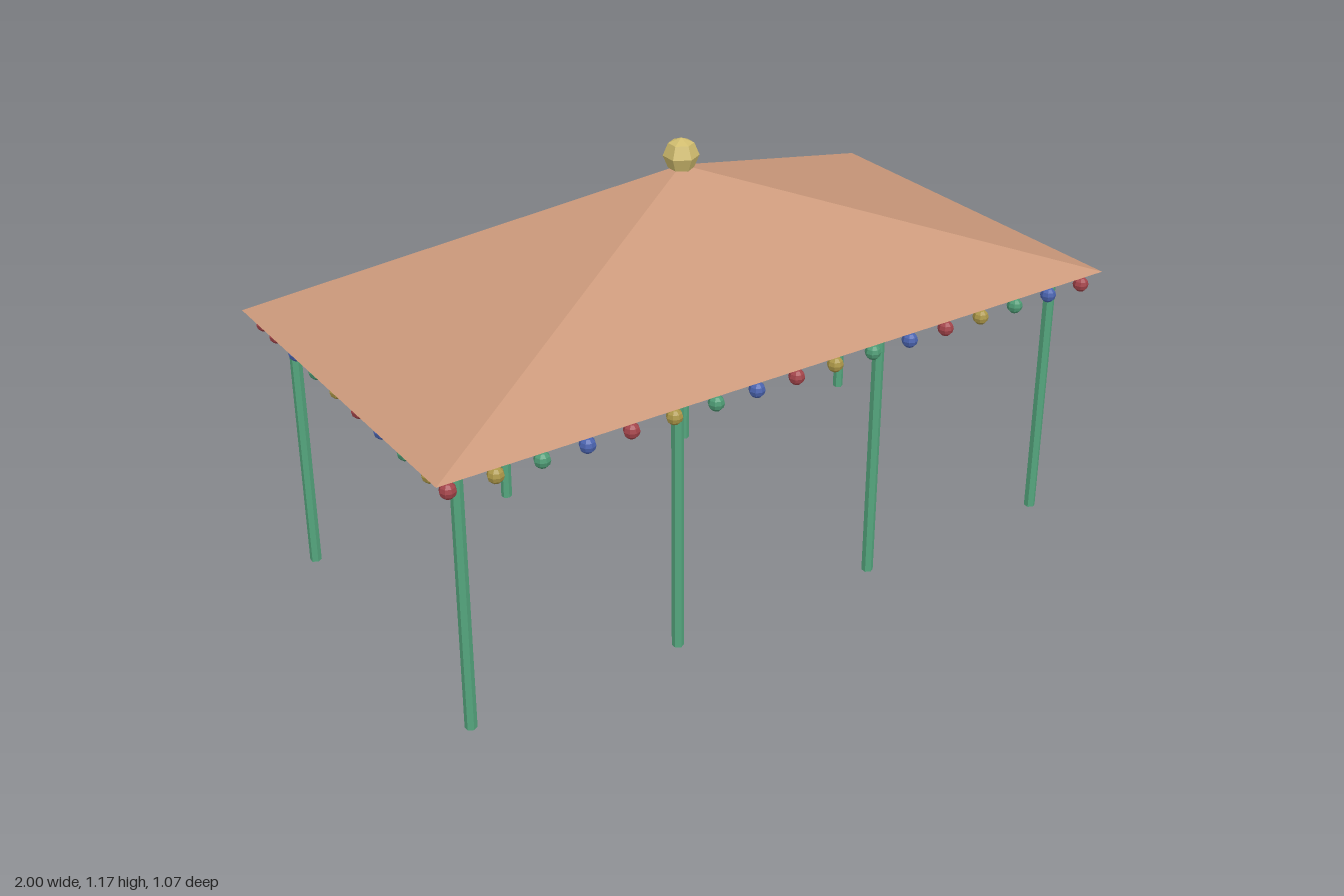
import * as THREE from 'three';

const paint = (name, color) => {
  const m = new THREE.MeshStandardMaterial({ color, flatShading: true });
  m.name = name;
  return m;
};

export function createModel() {
  const terracotta = paint('terracotta', 0xc99779);
  const green = paint('frame green', 0x55a67e);
  const brass = paint('brass', 0xd0bc6e);
  const bulbPaints = [
    paint('bulb red', 0xa3444a),
    paint('bulb yellow', 0xab9648),
    paint('bulb green', 0x4e9a74),
    paint('bulb blue', 0x4a63ae),
  ];

  const model = new THREE.Group();
  model.name = 'pavilion';
  const add = (name, geometry, material, x, y, z, parent = model) => {
    const mesh = new THREE.Mesh(geometry, material);
    mesh.name = name;
    mesh.position.set(x, y, z);
    parent.add(mesh);
    return mesh;
  };

  // Four-sided hipped roof rising to a single point
  const eaveY = 0.742, roofHeight = 0.353;
  const roof = new THREE.ConeGeometry(Math.SQRT2, roofHeight, 4);
  roof.rotateY(Math.PI / 4);
  roof.scale(1, 1, 0.534);
  add('roof', roof, terracotta, 0, eaveY + roofHeight / 2, 0);

  // Ceiling slab under the eaves
  add('ceiling', new THREE.BoxGeometry(1.906, 0.028, 0.976), green, 0, 0.727, 0);

  // Ball on the roof peak
  const ball = new THREE.SphereGeometry(0.047, 6, 4);
  ball.rotateY(Math.PI / 2);
  add('finial', ball, brass, 0, 1.121, 0);

  // Two rows of four posts
  const posts = new THREE.Group();
  posts.name = 'posts';
  model.add(posts);
  const postGeometry = new THREE.CylinderGeometry(0.0155, 0.0155, 0.715, 6);
  for (const z of [-0.441, 0.441])
    for (const x of [-0.905, -0.309, 0.309, 0.905])
      add('post', postGeometry, green, x, 0.3575, z, posts);

  // Strings of coloured bulbs along all four eaves
  const bulbs = new THREE.Group();
  bulbs.name = 'bulbs';
  model.add(bulbs);
  const bulbGeometry = new THREE.SphereGeometry(0.021, 8, 6);
  const step = 0.1196, bulbY = 0.705;
  for (const side of [-1, 1]) {
    for (let i = 0; i < 17; i++)
      add('bulb', bulbGeometry, bulbPaints[i % 4], (i - 8) * step, bulbY, side * 0.502, bulbs);
    for (let i = 1; i <= 8; i++)
      add('bulb', bulbGeometry, bulbPaints[i % 4], side * 0.957, bulbY, (4.5 - i) * step, bulbs);
  }

  return model;
}
